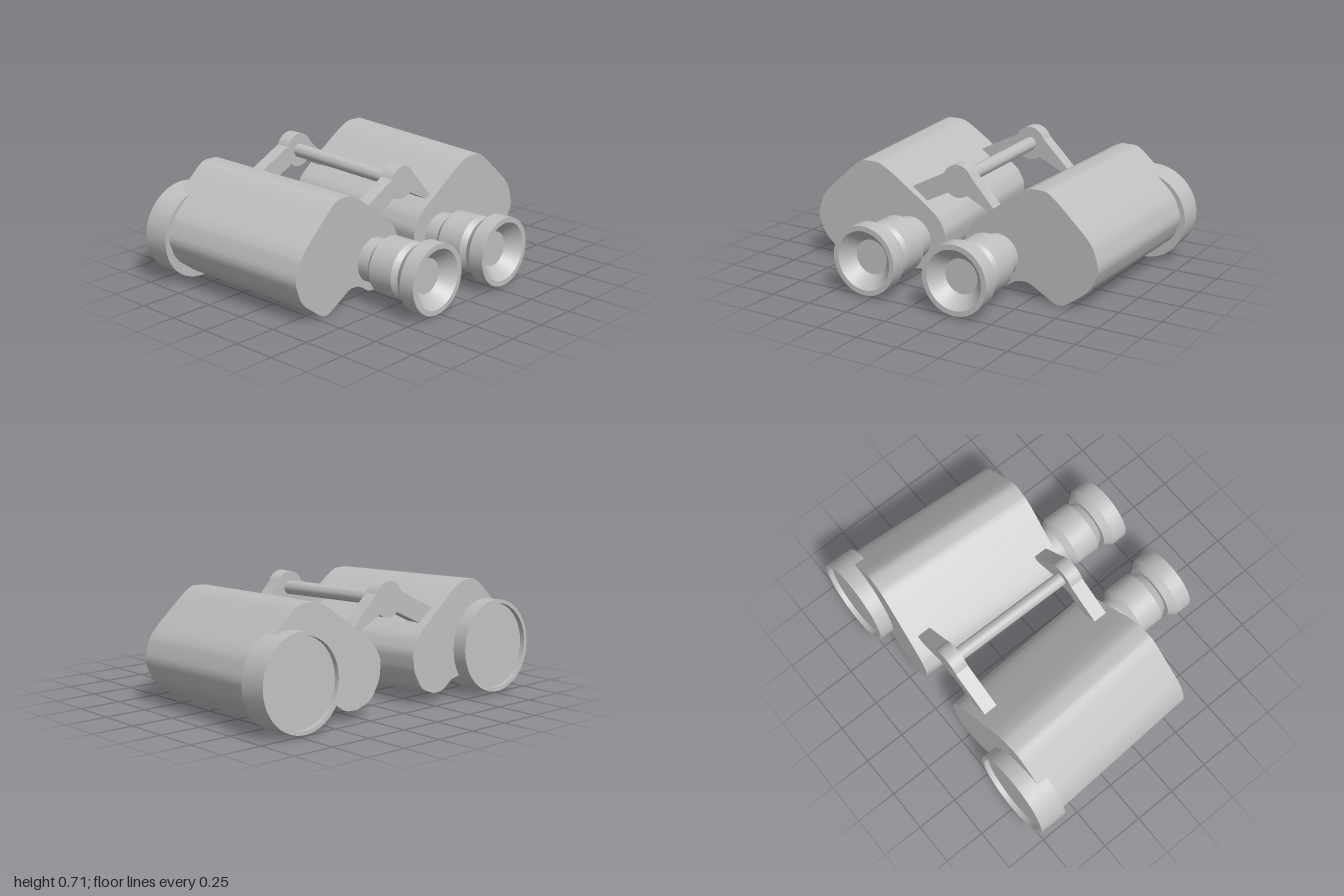
import * as THREE from 'three';
import { toCreasedNormals } from 'three/addons/utils/BufferGeometryUtils.js';

const grey = new THREE.MeshStandardMaterial({ color: 0xbfbfbf });
grey.name = 'light grey';

function part(name, geometry, crease = 0.5) {
  const mesh = new THREE.Mesh(toCreasedNormals(geometry, crease), grey);
  mesh.name = name;
  return mesh;
}

// Closed outline with every corner softened
function roundedOutline(corners, softness) {
  const pts = corners.map(([x, y]) => new THREE.Vector2(x, y));
  const shape = new THREE.Shape();
  pts.forEach((p, i) => {
    const a = p.clone().lerp(pts[(i + pts.length - 1) % pts.length], softness);
    const b = p.clone().lerp(pts[(i + 1) % pts.length], softness);
    if (i === 0) shape.moveTo(a.x, a.y);
    else shape.lineTo(a.x, a.y);
    shape.quadraticCurveTo(p.x, p.y, b.x, b.y);
  });
  shape.closePath();
  return shape;
}

// Turned part whose axis runs along z; sign +1 faces the front, -1 the back
function turned(name, profile, sign) {
  const pts = profile.map(([r, z]) => new THREE.Vector2(r, z));
  const geo = new THREE.LatheGeometry(pts, 48);
  geo.rotateX(sign * Math.PI / 2);
  return part(name, geo);
}

// Prism housing section: upper ridge, outer lobe, waist, inner lobe
const housing = [
  [0.47, 0.638], [0.60, 0.642], [0.66, 0.60], [0.88, 0.40], [0.927, 0.26],
  [0.875, 0.13], [0.71, 0.008], [0.66, 0.004], [0.60, 0.035], [0.48, 0.10],
  [0.40, 0.09], [0.32, 0.035], [0.24, 0.03], [0.14, 0.07], [0.08, 0.17],
  [0.066, 0.28], [0.115, 0.375],
];

const eyepieceProfile = [
  [0, 0.27], [0.127, 0.27], [0.127, 0.395], [0.165, 0.435], [0.165, 0.59],
  [0.135, 0.637], [0.165, 0.638], [0.2, 0.685], [0.2, 0.778], [0.17, 0.778],
  [0.1, 0.70], [0, 0.70],
];

const objectiveProfile = [
  [0, 0], [0.265, 0], [0.265, 0.167], [0.243, 0.167], [0.243, 0.137], [0, 0.137],
];

// Hinge plate: round hub with an arm down to each housing
function hingePlate(name, hubY, hubR, tipX, tipY, z) {
  const s = new THREE.Shape();
  const deg = Math.PI / 180;
  s.moveTo(tipX, tipY);
  s.absarc(0, hubY, hubR, 22 * deg, 158 * deg, false);
  s.lineTo(-tipX, tipY);
  s.lineTo(-tipX, tipY - 0.12);
  s.absarc(0, hubY, hubR, 230 * deg, 310 * deg, false);
  s.lineTo(tipX, tipY - 0.12);
  s.closePath();
  const geo = new THREE.ExtrudeGeometry(s, { depth: 0.083, bevelEnabled: false, curveSegments: 20 });
  geo.translate(0, 0, z);
  return part(name, geo, 0.3);
}

function createBarrel(side) {
  const barrel = new THREE.Group();
  barrel.name = side > 0 ? 'leftBarrel' : 'rightBarrel';

  // Housing, splayed outward and upward toward the back
  const shape = roundedOutline(housing.map(([x, y]) => [side * x, y]), 0.3);
  const geo = new THREE.ExtrudeGeometry(shape, { depth: 1.0, bevelEnabled: false, curveSegments: 5 });
  geo.translate(0, 0, -1.0);
  const body = part('prismHousing', geo, 0.6);
  body.rotation.set(0.03, -side * 0.055, 0);
  body.position.z = 0.29;
  barrel.add(body);

  // Eyepiece with hollow cup
  const eyepiece = turned('eyepiece', eyepieceProfile, 1);
  eyepiece.position.set(side * 0.29, 0.217, 0);
  barrel.add(eyepiece);

  // Objective ring with recessed lens
  const objective = turned('objective', objectiveProfile, -1);
  objective.position.set(side * 0.735, 0.275, -0.598);
  objective.rotation.x = 0.05;
  barrel.add(objective);
  return barrel;
}

export function createModel() {
  const model = new THREE.Group();
  model.name = 'binoculars';
  for (const side of [1, -1]) model.add(createBarrel(side));

  // Hinge
  model.add(hingePlate('frontHingePlate', 0.585, 0.095, 0.3, 0.512, 0.192));
  model.add(hingePlate('rearHingePlate', 0.615, 0.1, 0.34, 0.53, -0.628));
  const rod = part('hingeRod', new THREE.CylinderGeometry(0.04, 0.04, 0.8, 24));
  rod.rotation.x = Math.PI / 2 + 0.036;
  rod.position.set(0, 0.6, -0.175);
  model.add(rod);
  return model;
}
